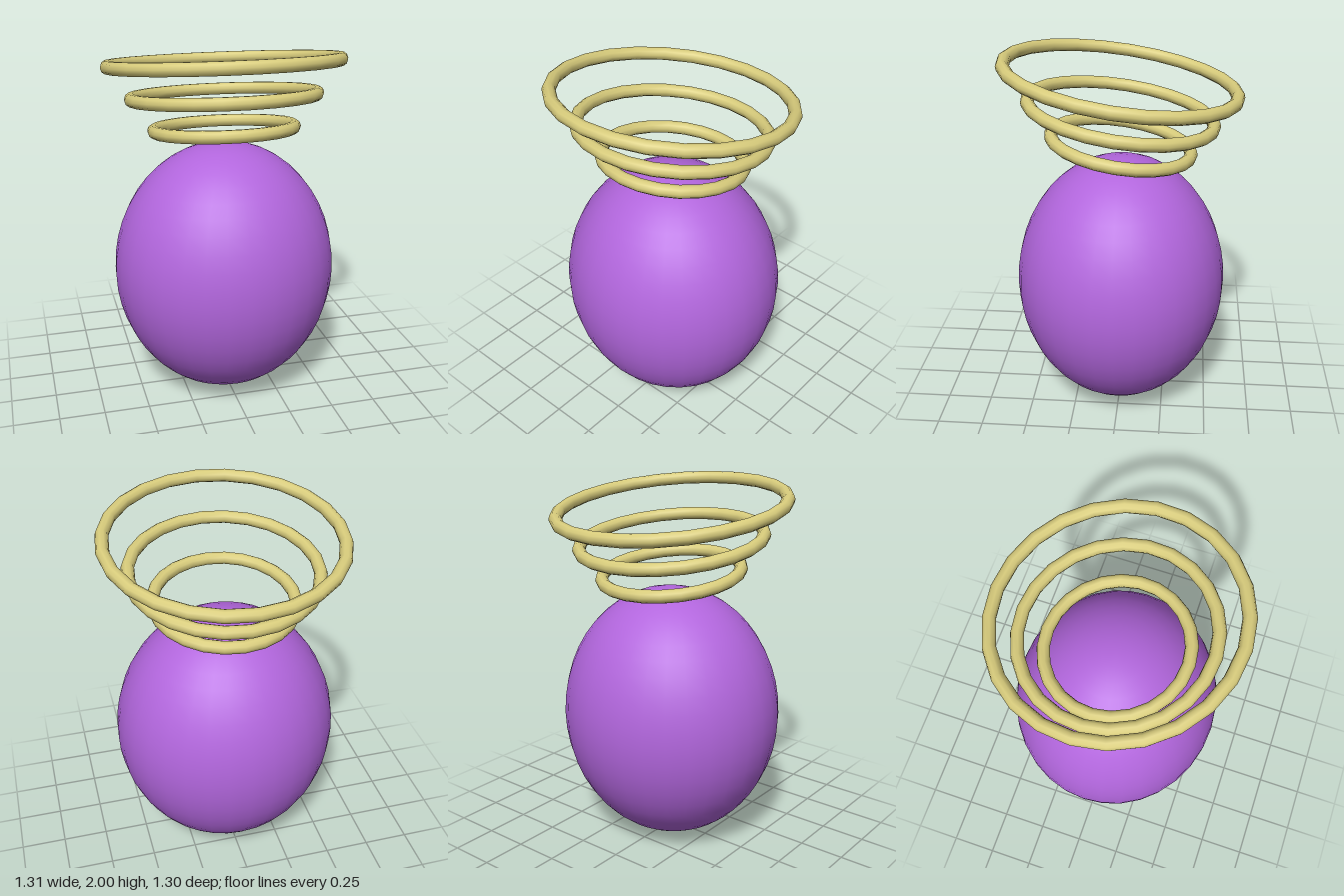
import * as THREE from 'three';

export function createModel() {
  const model = new THREE.Group();
  const purple = new THREE.MeshStandardMaterial({ color: 0xb266dd });
  purple.name = 'purple';
  const gold = new THREE.MeshStandardMaterial({ color: 0xd8cc7c });
  gold.name = 'pale gold';

  // Egg-shaped body, slightly wider than deep
  const body = new THREE.Mesh(new THREE.SphereGeometry(1, 32, 24), purple);
  body.name = 'body';
  body.scale.set(0.62, 0.717, 0.585);
  body.position.y = 0.718;
  model.add(body);

  // Three floating rings, growing upwards and raised at the front
  const tilt = 0.143;
  [0.382, 0.501, 0.62].forEach((radius, i) => {
    const ring = new THREE.Mesh(new THREE.TorusGeometry(radius, 0.035, 10, 24), gold);
    ring.name = 'ring' + (i + 1);
    ring.rotation.x = Math.PI / 2 - tilt;
    ring.position.y = 1.52 + i * 0.179;
    model.add(ring);
  });

  return model;
}
